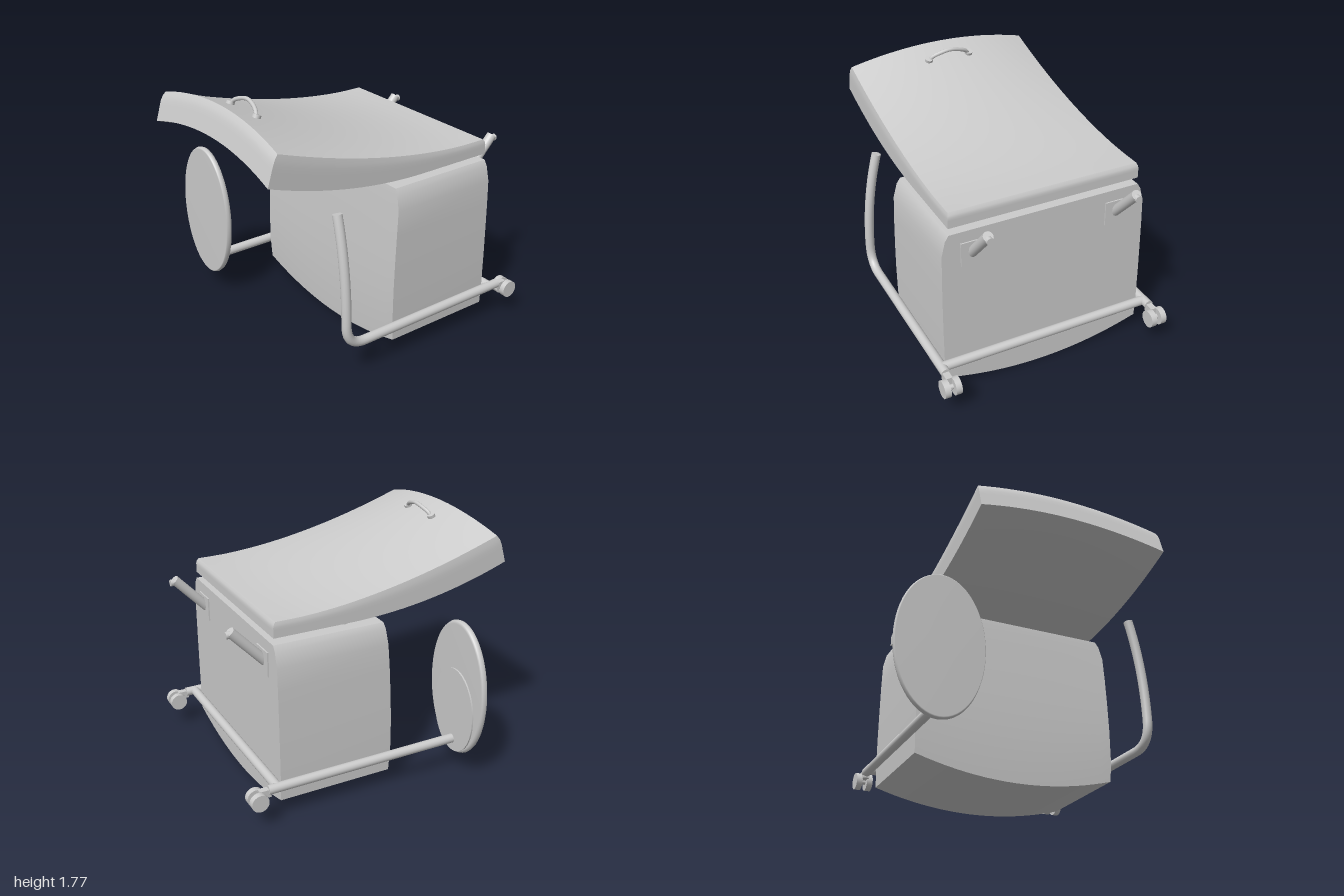
import * as THREE from 'three';

const CX = 0.12; // centre line of the body and lid
const mat = new THREE.MeshStandardMaterial({ color: 0xcccccc });
const V = (x, y, z) => new THREE.Vector3(x, y, z);

export function createModel() {
  const model = new THREE.Group();

  const add = (name, geometry, x = 0, y = 0, z = 0) => {
    const mesh = new THREE.Mesh(geometry, mat);
    mesh.name = name;
    mesh.position.set(x, y, z);
    model.add(mesh);
    return mesh;
  };

  // Box whose unit coordinates (u -1..1, v 0..1, w 0..1) are moved by a rule
  const shapedBox = (segs, rule) => {
    const g = new THREE.BoxGeometry(2, 1, 1, ...segs);
    const p = g.attributes.position;
    for (let i = 0; i < p.count; i++) {
      p.setXYZ(i, ...rule(p.getX(i), p.getY(i) + 0.5, p.getZ(i) + 0.5));
    }
    g.computeVertexNormals();
    return g;
  };

  // Straight closed rod between two points
  const rod = (name, a, b, r, sides = 20) => {
    const dir = b.clone().sub(a);
    const mesh = add(name, new THREE.CylinderGeometry(r, r, dir.length(), sides));
    mesh.position.copy(a).add(b).multiplyScalar(0.5);
    mesh.quaternion.setFromUnitVectors(V(0, 1, 0), dir.normalize());
    return mesh;
  };

  // Body: bowed bottom, gently bulged front, sides drawn in at the top
  const rows = [ // height, half width, front z
    [0.11, 0.735, 0.07], [0.28, 0.74, 0.08], [0.5, 0.74, 0.08], [0.7, 0.738, 0.073],
    [0.9, 0.735, 0.063], [1.07, 0.73, 0.052], [1.17, 0.705, 0.045], [1.21, 0.68, 0.04],
  ];
  add('body', shapedBox([20, rows.length - 1, 1], (u, v, w) => {
    const [h, half, front] = rows[Math.round(v * (rows.length - 1))];
    const sag = 0.11 * (1 - u * u) * (1.21 - h) / 1.1;
    return [CX + u * half, h - sag, -0.75 + w * (front + 0.75)];
  }));

  // Lid: sweeps up and thickens to the front, crowned across its width
  add('lid', shapedBox([20, 6, 28], (u, v, w) => {
    const round = 0.02 * Math.max(0, (v - 0.66) / 0.34) ** 2;
    const s = w * (1 - round) + round * 0.5;
    const zb = -0.745 + 1.745 * s;
    const zt = -0.745 + 1.685 * s;
    const yb = 1.255 + 0.215 * (Math.max(0, zb + 0.2) / 1.2) ** 2;
    const yt = 1.36 + 0.31 * (Math.max(0, zt + 0.6) / 1.54) ** 1.75;
    const crown = (1 - u * u) * s ** 1.2;
    return [
      CX + u * (0.68 - round * 0.4),
      yb + (yt - yb) * v + 0.093 * crown,
      zb + (zt - zb) * v - 0.03 * crown,
    ];
  }));

  // Posts that carry the lid
  for (const x of [-0.42, 0.66]) {
    rod('lidPost', V(x - 0.02, 1.18, -0.2), V(x - 0.02, 1.275, -0.2), 0.035);
    rod('lidPost', V(x + 0.02, 1.18, -0.58), V(x + 0.02, 1.275, -0.58), 0.035);
  }

  // Lid handle: bowed grip on two round feet
  const grip = new THREE.CatmullRomCurve3([
    V(-0.035, 1.68, 0.735), V(-0.01, 1.715, 0.72), V(0.05, 1.742, 0.704),
    V(0.12, 1.755, 0.698), V(0.19, 1.742, 0.704), V(0.25, 1.715, 0.72), V(0.275, 1.68, 0.735),
  ]);
  add('lidHandle', new THREE.TubeGeometry(grip, 32, 0.014, 10));
  for (const x of [-0.035, 0.275]) {
    rod('lidHandleFoot', V(x, 1.65, 0.75), V(x, 1.705, 0.725), 0.028);
  }

  // Slanted pegs on back plates
  for (const x of [-0.4, 0.64]) {
    add('pegPlate', new THREE.BoxGeometry(0.17, 0.17, 0.014), x, 1.045, -0.753);
    rod('peg', V(x, 1.04, -0.74), V(x, 1.285, -0.97), 0.034);
    rod('pegTip', V(x, 1.265, -0.94), V(x, 1.265, -1.0), 0.024);
  }

  // Floor frame: side rails, rear cross rail and rail ends
  const R = 0.033, railY = 0.25;
  rod('rightRail', V(-0.66, railY, 0.585), V(-0.66, railY, -0.86), R);
  rod('crossRail', V(-0.66, railY, -0.79), V(0.9, railY, -0.79), R);

  // Left rail turns up at the front into a curved push handle
  const rail = new THREE.CurvePath();
  rail.add(new THREE.LineCurve3(V(0.9, railY, -0.86), V(0.9, railY, 0.34)));
  rail.add(new THREE.QuadraticBezierCurve3(V(0.9, railY, 0.34), V(0.905, railY, 0.505), V(0.905, 0.42, 0.505)));
  rail.add(new THREE.QuadraticBezierCurve3(V(0.905, 0.42, 0.505), V(0.9, 0.82, 0.505), V(0.8, 1.165, 0.505)));
  add('leftRailAndHandle', new THREE.TubeGeometry(rail, 90, R, 16));
  rod('handleEnd', V(0.803, 1.155, 0.505), V(0.8, 1.166, 0.505), R);
  rod('leftRailEnd', V(0.9, railY, -0.84), V(0.9, railY, -0.861), R);

  // Twin-wheel castors behind the rails
  for (const x of [-0.66, 0.905]) {
    for (const side of [-1, 1]) {
      const c = x + side * 0.038;
      rod('castorWheel', V(c - 0.021, 0.2, -0.937), V(c + 0.021, 0.2, -0.937), 0.061, 32);
    }
    rod('castorAxle', V(x - 0.05, 0.2, -0.937), V(x + 0.05, 0.2, -0.937), 0.018);
    add('castorFork', new THREE.BoxGeometry(0.045, 0.055, 0.08), x, 0.235, -0.885);
  }

  // Oval front panel with rounded rim, and the smaller oval backing
  const rim = [[0, -0.025], [0.475, -0.025], [0.493, -0.018], [0.5, 0], [0.493, 0.017], [0.485, 0.022], [0, 0.022]]
    .map(([r, y]) => new THREE.Vector2(r, y));
  const panel = add('ovalPanel', new THREE.LatheGeometry(rim, 64), -0.66, 0.643, 0.598);
  panel.rotation.x = Math.PI / 2;
  panel.scale.x = 0.62;
  const backing = add('ovalBacking', new THREE.CylinderGeometry(0.315, 0.315, 0.02, 48), -0.66, 0.475, 0.572);
  backing.rotation.x = Math.PI / 2;
  backing.scale.x = 0.72;

  return model;
}
